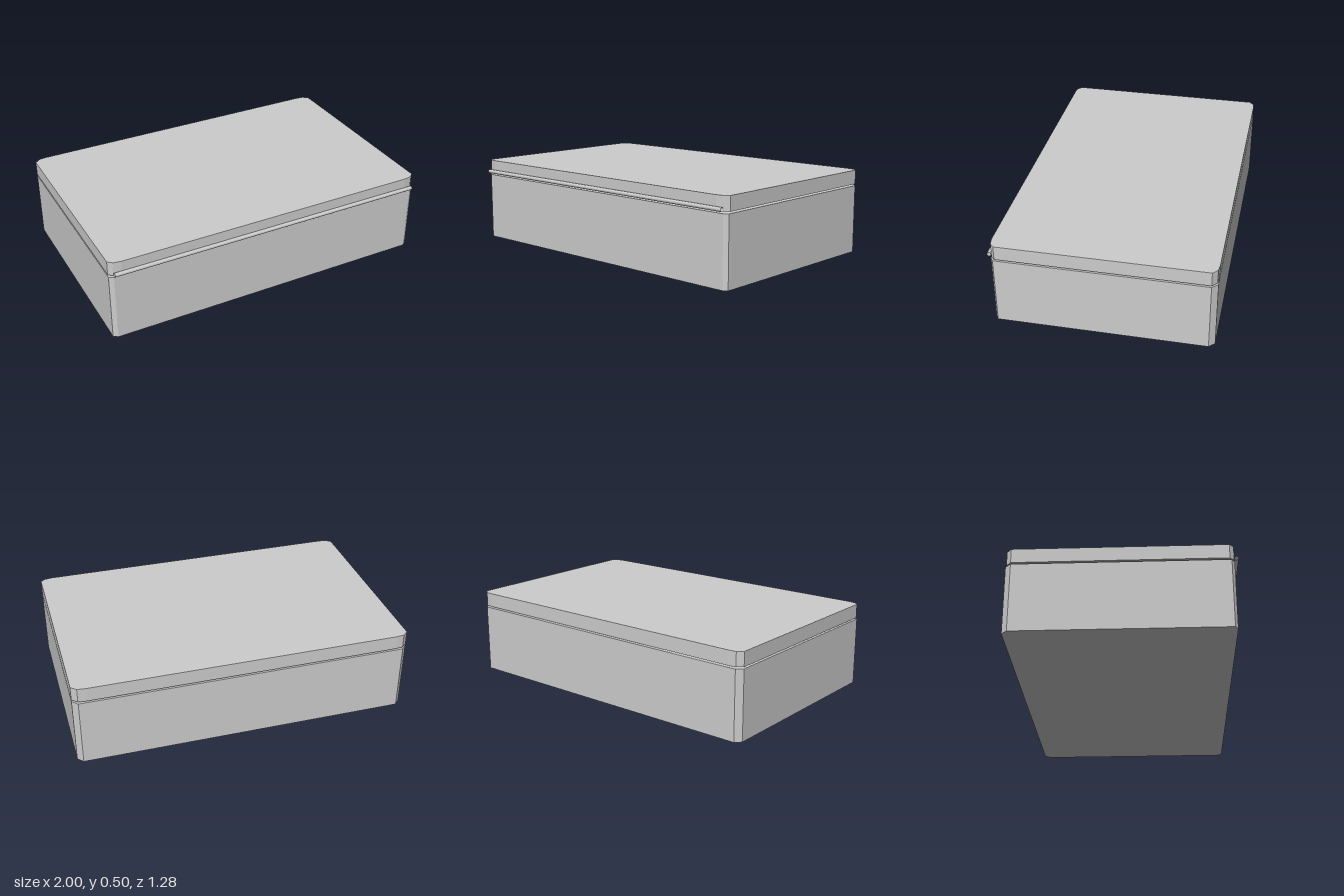
import * as THREE from 'three';

export function createModel() {
  const model = new THREE.Group();
  const grey = new THREE.MeshStandardMaterial({ color: 0xcccccc, side: THREE.DoubleSide });
  grey.name = 'light grey';

  // Prism standing from y0 to y1; the half outline [x, z] runs front to back and is mirrored
  const addPrism = (name, half, y0, y1) => {
    const mirrored = half.map(([x, z]) => [-x, z]).reverse();
    const points = [...half, ...mirrored].map(([x, z]) => new THREE.Vector2(x, -z));
    const geometry = new THREE.ExtrudeGeometry(new THREE.Shape(points), {
      depth: y1 - y0, bevelEnabled: false,
    });
    geometry.rotateX(-Math.PI / 2).translate(0, y0, 0);
    const mesh = new THREE.Mesh(geometry, grey);
    mesh.name = name;
    model.add(mesh);
  };

  // Box body with chamfered corners
  addPrism('body', [[0.975, 0.617], [1, 0.6], [1, -0.607], [0.968, -0.64]], 0, 0.41);

  // Lid floating just above the body, corners in two facets
  addPrism('lid', [
    [0.93, 0.621], [0.975, 0.613], [1, 0.59],
    [1, -0.607], [0.968, -0.635], [0.92, -0.64],
  ], 0.42, 0.505);

  // Thin open tube along the lid's front lower edge
  const tube = new THREE.CylinderGeometry(0.0125, 0.0125, 1.95, 10, 1, true);
  tube.rotateZ(Math.PI / 2).translate(0, 0.4325, 0.6275);
  const frontRod = new THREE.Mesh(tube, grey);
  frontRod.name = 'frontRod';
  model.add(frontRod);

  return model;
}
